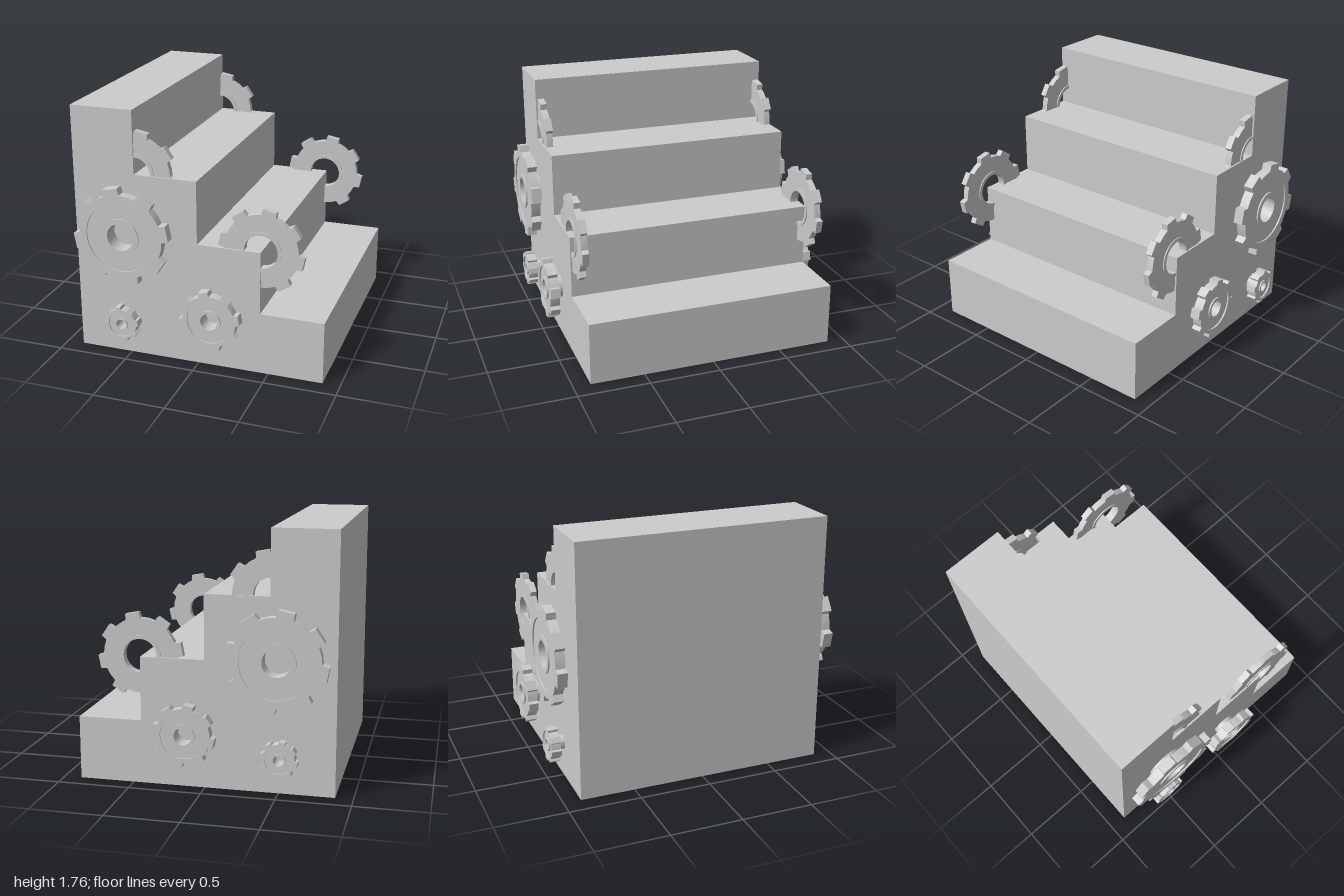
import * as THREE from 'three';
import { toCreasedNormals } from 'three/addons/utils/BufferGeometryUtils.js';

const material = new THREE.MeshStandardMaterial({ color: 0xcccccc });

// Extrude a shape between two depths, with smooth round walls and sharp edges
function plate(shape, z0, z1, name) {
  const geo = new THREE.ExtrudeGeometry(shape, { depth: z1 - z0, bevelEnabled: false, curveSegments: 16 });
  geo.translate(0, 0, z0);
  const mesh = new THREE.Mesh(toCreasedNormals(geo, 0.5), material);
  mesh.name = name;
  return mesh;
}

function addHole(shape, r) {
  shape.holes.push(new THREE.Path().absarc(0, 0, r, 0, Math.PI * 2, true));
  return shape;
}

function ring(outer, inner) {
  return addHole(new THREE.Shape().absarc(0, 0, outer, 0, Math.PI * 2, false), inner);
}

// Eight tapered teeth around a round rim
function toothedRim(tip, hole, phaseDeg) {
  const root = tip * 0.865, pts = [];
  const corners = [[-11.5, root], [-9, tip], [9, tip], [11.5, root], [22.5, root]];
  for (let i = 0; i < 8; i++) {
    for (const [deg, r] of corners) {
      const a = THREE.MathUtils.degToRad(phaseDeg + i * 45 + deg);
      pts.push(new THREE.Vector2(r * Math.cos(a), r * Math.sin(a)));
    }
  }
  return addHole(new THREE.Shape(pts), hole);
}

// Gear with recessed web and a hub reaching towards the wall
function wallGear(x, y, tip) {
  const g = new THREE.Group();
  g.name = 'wallGear';
  const web = tip * 0.72, hub = tip * 0.38, bore = tip * 0.275;
  g.add(
    plate(toothedRim(tip, web, 11), 0.932, 1.0, 'gearRim'),
    plate(ring(web, hub), 0.942, 0.99, 'gearWeb'),
    plate(ring(hub, bore), 0.885, 1.0, 'gearHub')
  );
  g.position.set(x, y, 0);
  return g;
}

// Thin gear sunk into the steps, with a raised collar
function stepGear(x, y) {
  const g = new THREE.Group();
  g.name = 'stepGear';
  g.add(
    plate(toothedRim(0.295, 0.14, -11), 0.823, 0.868, 'gearRim'),
    plate(ring(0.14, 0.115), 0.815, 0.875, 'gearCollar')
  );
  g.position.set(x, y, 0);
  return g;
}

export function createModel() {
  const model = new THREE.Group();
  model.name = 'gearStaircase';

  // Solid flight of four steps
  const stairs = new THREE.Shape().moveTo(-0.88, 0).lineTo(0.88, 0);
  for (let i = 0; i < 4; i++) {
    stairs.lineTo(0.88 - i * 0.44, (i + 1) * 0.44);
    stairs.lineTo(0.44 - i * 0.44, (i + 1) * 0.44);
  }
  stairs.closePath();
  model.add(plate(stairs, -0.88, 0.88, 'staircase'));

  // The same set of gears on the front and, mirrored, on the back
  for (const side of ['front', 'back']) {
    const gears = new THREE.Group();
    gears.name = side + 'Gears';
    gears.add(
      wallGear(-0.5, 0.912, 0.343),
      wallGear(0.12, 0.385, 0.215),
      wallGear(-0.52, 0.265, 0.127),
      stepGear(0.44, 0.885),
      stepGear(-0.44, 1.325)
    );
    if (side === 'back') gears.scale.z = -1;
    model.add(gears);
  }
  return model;
}
